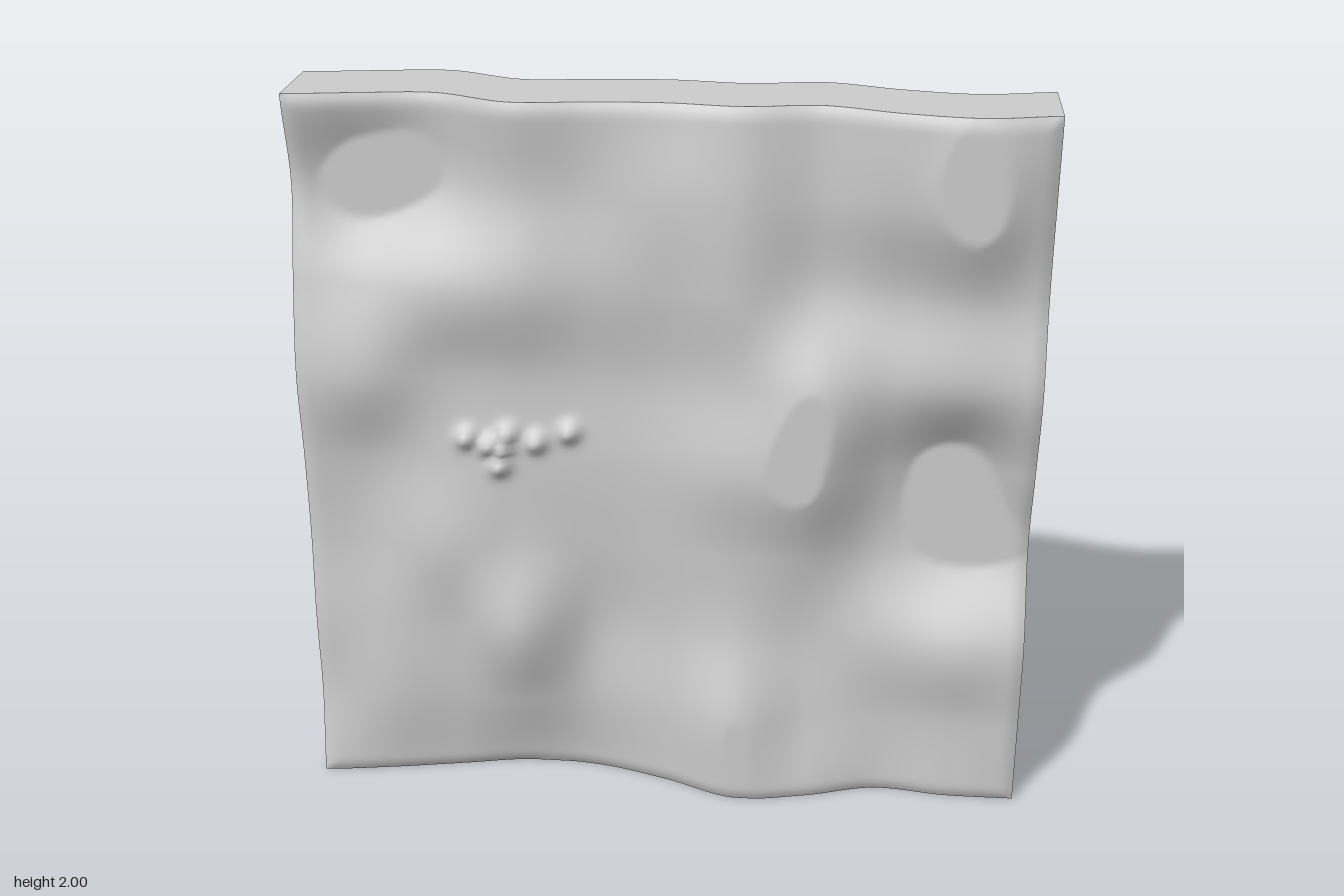
import * as THREE from 'three';

// Relief of the slab in hundredths: rows from y = 0 to 2, columns left to right
const RELIEF = [
  [5, 2, -2, -6, -5, 1, 9, 6, 0, 2, 2],
  [2, 4, 1, 1, -2, 2, 9, 2, 0, 2, 3],
  [3, 3, 3, 8, -2, 0, 3, 0, 2, 5, 4],
  [2, 1, 6, 3, 0, 1, 3, 3, -4, -8, -6],
  [3, 1, 3, 2, 1, 2, 7, 10, -3, -9, 0],
  [5, 7, 2, 1, 0, 0, 4, 9, 3, 4, 6],
  [1, 2, 5, 6, 3, 3, 5, -1, -1, 3, 2],
  [-4, -9, -6, 1, 1, 4, 5, 0, 5, 11, 3],
  [1, -2, -4, 4, 2, 1, 3, 0, 6, 9, 5],
];
const WIDTH = 1.99, HEIGHT = 2, DEPTH = 0.272;

// Small pebble-like bumps on the front: x, y
const BUMPS = [[-0.54, 0.07], [-0.48, 0.05], [-0.43, 0.08], [-0.44, 0.04], [-0.45, -0.01], [-0.35, 0.06], [-0.26, 0.09]];

// Smooth interpolation through evenly spaced values
function spline(values, t) {
  const last = values.length - 1;
  const i = Math.min(Math.floor(t), last - 1), f = t - i;
  const at = (k) => values[Math.max(0, Math.min(last, k))];
  const [a, b, c, d] = [at(i - 1), at(i), at(i + 1), at(i + 2)];
  return b + 0.5 * f * (c - a + f * (2 * a - 5 * b + 4 * c - d + f * (3 * (b - c) + d - a)));
}

// Relief height, cut flat at the highest and lowest places
function relief(x, y) {
  const tx = THREE.MathUtils.clamp((x + 1) * 5, 0, 10);
  const ty = THREE.MathUtils.clamp((y + 1) * 4, 0, 8);
  const h = spline(RELIEF.map((row) => spline(row, tx)), ty) / 100;
  return THREE.MathUtils.clamp(h, -0.06, 0.09);
}

// Height of the small bumps
function bump(x, y) {
  return Math.max(...BUMPS.map(([bx, by]) => 0.035 * Math.exp(-((x - bx) ** 2 + (y - by) ** 2) / 0.0008)));
}

// Box bent along the relief, its rims slightly rounded
function slabGeometry() {
  const geometry = new THREE.BoxGeometry(WIDTH, HEIGHT, DEPTH, 150, 150, 4);
  const p = geometry.attributes.position;
  for (let i = 0; i < p.count; i++) {
    const x = p.getX(i), y = p.getY(i), z = p.getZ(i);
    const rim = Math.min(WIDTH / 2 - Math.abs(x), HEIGHT / 2 - Math.abs(y));
    const round = Math.max(0, 1 - rim / 0.04) ** 2;
    const extra = z > DEPTH / 2 - 0.001 ? bump(x, y) : 0;
    p.setZ(i, z * (1 - 0.1 * round) + relief(x, y) + extra);
  }
  geometry.computeVertexNormals();
  return geometry;
}

export function createModel() {
  const stone = new THREE.MeshStandardMaterial({ color: 0xcccccc });
  stone.name = 'grey stone';

  const model = new THREE.Group();
  model.name = 'wavyStoneSlab';

  const slab = new THREE.Mesh(slabGeometry(), stone);
  slab.name = 'slab';
  slab.position.y = HEIGHT / 2;
  slab.rotation.y = THREE.MathUtils.degToRad(20);
  model.add(slab);
  return model;
}
